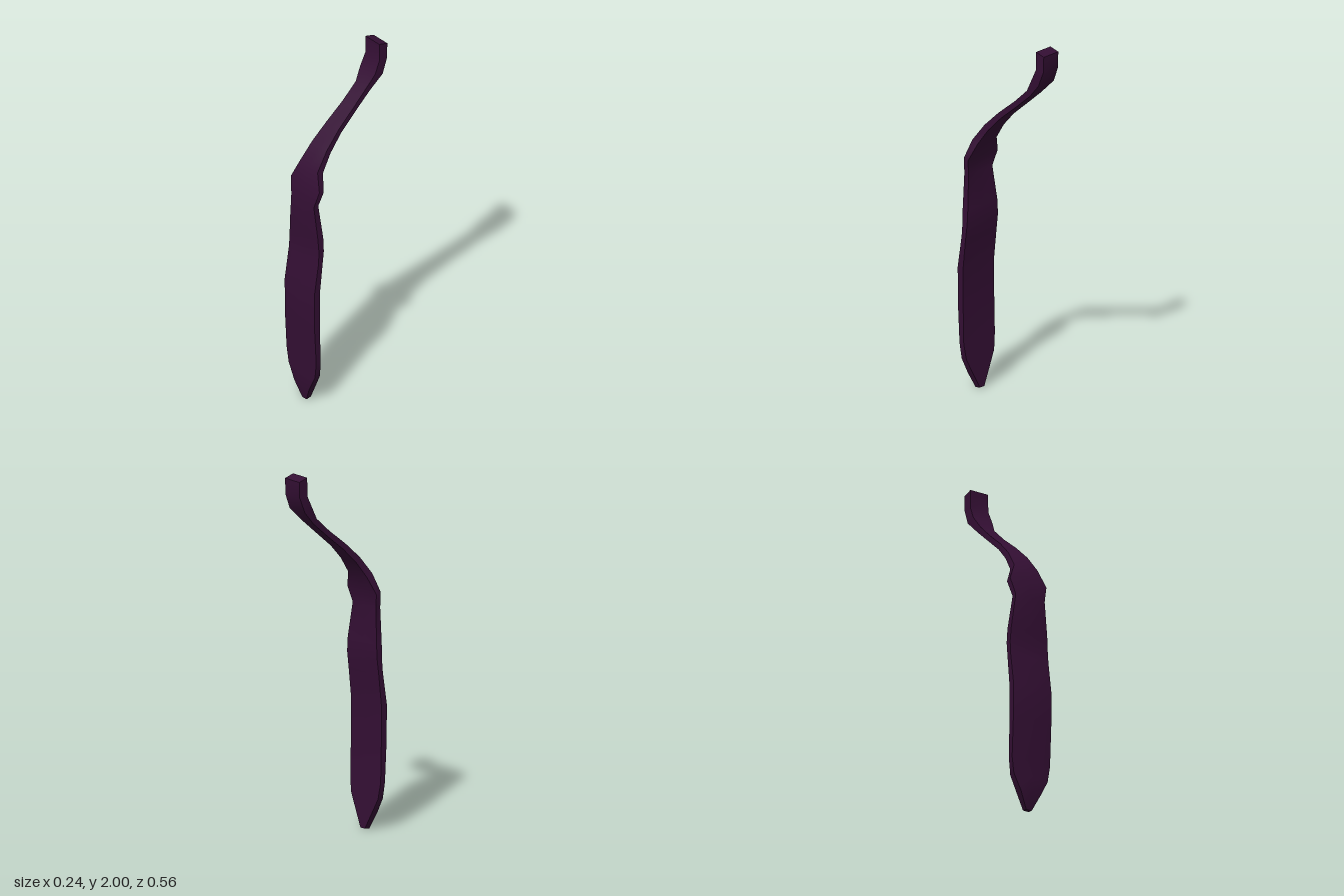
import * as THREE from 'three';
import { toCreasedNormals } from 'three/addons/utils/BufferGeometryUtils.js';

// Cross-sections from tip to top: [half width, front z, front y, back z, back y, centre ridge]
const SECTIONS = [
  [0.017, 0.240, 0.000, 0.210, 0.005, 0.000],
  [0.060, 0.257, 0.090, 0.216, 0.090, 0.007],
  [0.105, 0.257, 0.180, 0.223, 0.180, 0.009],
  [0.118, 0.260, 0.270, 0.230, 0.270, 0.008],
  [0.118, 0.272, 0.500, 0.235, 0.500, 0.008],
  [0.118, 0.273, 0.690, 0.235, 0.690, 0.007],
  [0.118, 0.245, 0.870, 0.218, 0.850, 0.007],
  [0.117, 0.240, 0.940, 0.207, 0.940, 0.007],
  [0.112, 0.243, 1.020, 0.207, 1.020, 0.007],
  [0.090, 0.252, 1.210, 0.222, 1.210, 0.008],
  [0.113, 0.234, 1.305, 0.205, 1.295, 0.008],
  [0.073, 0.212, 1.400, 0.175, 1.385, 0.005],
  [0.060, 0.137, 1.500, 0.112, 1.475, 0.002],
  [0.050, 0.045, 1.590, 0.032, 1.560, 0.000],
  [0.044, -0.060, 1.677, -0.070, 1.647, 0.000],
  [0.043, -0.148, 1.760, -0.170, 1.735, 0.000],
  [0.059, -0.193, 1.830, -0.245, 1.815, 0.000],
  [0.056, -0.225, 1.900, -0.278, 1.900, 0.000],
  [0.055, -0.225, 2.000, -0.280, 1.985, 0.000],
];

// Closed strip lofted through six-point cross-sections
function strip(sections) {
  const positions = [];
  const index = [];
  const n = 6;
  for (const [w, fz, fy, bz, by, ridge] of sections) {
    positions.push(
      -w, fy, fz, 0, fy, fz + ridge, w, fy, fz,
      w, by, bz, 0, by, bz, -w, by, bz,
    );
  }
  for (let i = 0; i < sections.length - 1; i++) {
    for (let j = 0; j < n; j++) {
      const a = i * n + j;
      const b = i * n + (j + 1) % n;
      index.push(a, b, b + n, a, b + n, a + n);
    }
  }
  // End caps
  const top = (sections.length - 1) * n;
  for (let j = 1; j < n - 1; j++) {
    index.push(0, j + 1, j, top, top + j, top + j + 1);
  }
  const geometry = new THREE.BufferGeometry();
  geometry.setAttribute('position', new THREE.Float32BufferAttribute(positions, 3));
  geometry.setIndex(index);
  return toCreasedNormals(geometry, 0.7);
}

export function createModel() {
  const model = new THREE.Group();
  const purple = new THREE.MeshStandardMaterial({ color: 0x340f34 });
  purple.name = 'dark purple';

  // Long curved strap with a pointed lower end
  const strap = new THREE.Mesh(strip(SECTIONS), purple);
  strap.name = 'curvedStrap';
  model.add(strap);
  return model;
}
